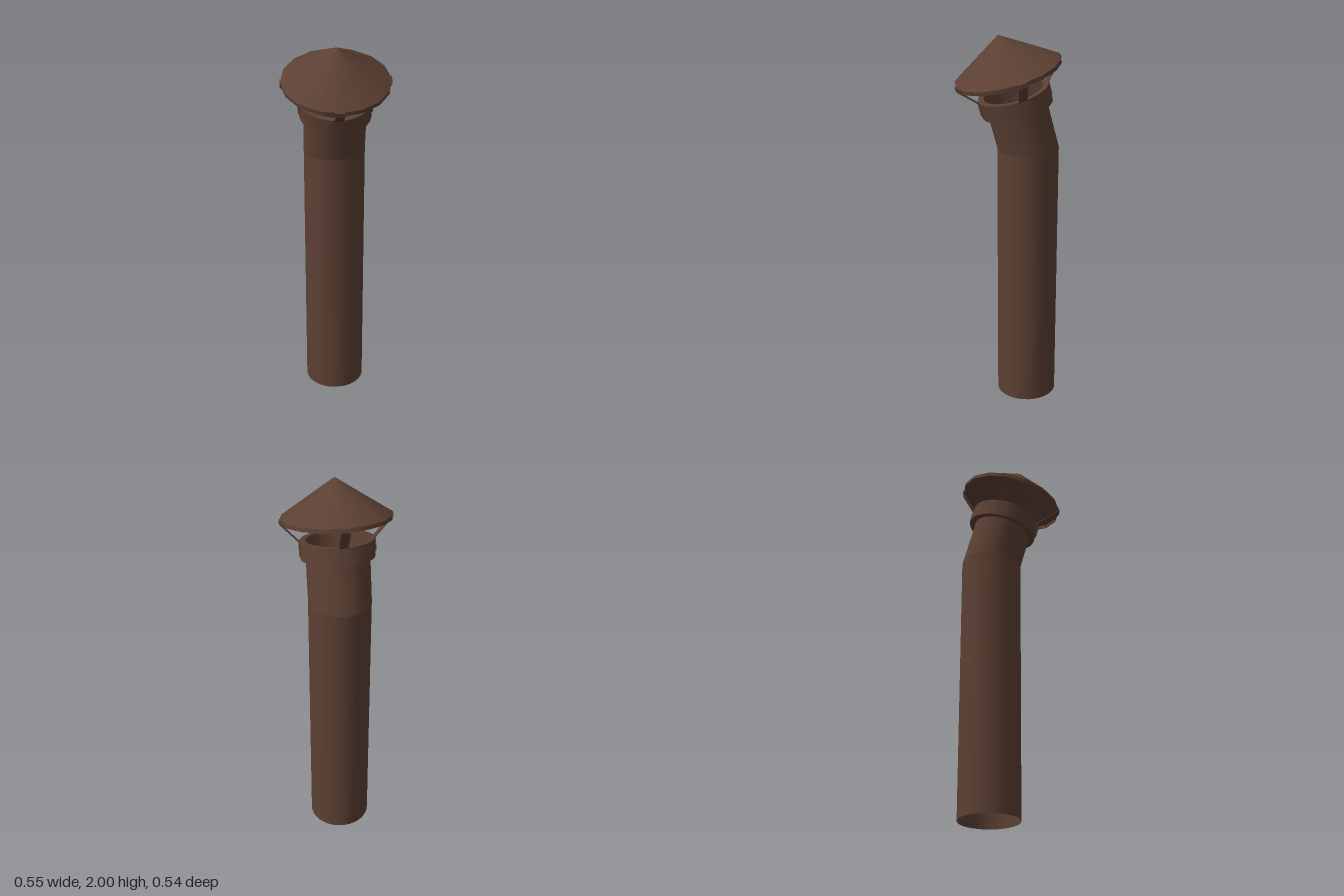
import * as THREE from 'three';

const TILT = THREE.MathUtils.degToRad(15);

export function createModel() {
  const brown = new THREE.MeshStandardMaterial({ color: 0x5c4033, side: THREE.DoubleSide });
  brown.name = 'brownMetal';

  const model = new THREE.Group();
  model.name = 'chimneyPipe';
  const add = (parent, name, geometry) => {
    const mesh = new THREE.Mesh(geometry, brown);
    mesh.name = name;
    parent.add(mesh);
    return mesh;
  };
  // Lathe each straight run separately so the edges stay sharp
  const addTurned = (parent, name, profile, segments) => {
    const part = new THREE.Group();
    part.name = name;
    for (let i = 0; i < profile.length - 1; i++) {
      const run = [profile[i], profile[i + 1]].map(([r, y]) => new THREE.Vector2(r, y));
      add(part, name + 'Face', new THREE.LatheGeometry(run, segments));
    }
    parent.add(part);
  };

  // Upright pipe, open at both ends
  const radius = 0.158, bendY = 1.41;
  const lower = add(model, 'lowerPipe', new THREE.CylinderGeometry(radius, radius, bendY, 32, 1, true));
  lower.position.set(0, bendY / 2, -0.105);

  // Everything above the bend leans forward; local y = 0 is the pipe mouth
  const head = new THREE.Group();
  head.name = 'tiltedHead';
  head.position.set(0, 1.71, -0.025);
  head.rotation.x = TILT;
  model.add(head);

  // Leaning pipe, its lower end cut level to meet the upright pipe
  const length = 0.31;
  const upper = new THREE.CylinderGeometry(radius, radius, length, 32, 1, true);
  upper.scale(1, 1, Math.cos(TILT)).translate(0, -length / 2, 0);
  const p = upper.attributes.position;
  for (let i = 0; i < p.count; i++) {
    if (p.getY(i) < -length / 2) p.setY(i, -length + p.getZ(i) * Math.tan(TILT));
  }
  add(head, 'upperPipe', upper);

  // Collar around the mouth
  addTurned(head, 'collar', [[0.154, -0.09], [0.183, -0.09], [0.183, 0], [0.154, 0]], 32);

  // Conical rain cap with a short rim
  addTurned(head, 'rainCap', [[0.268, 0.095], [0.273, 0.095], [0.273, 0.115], [0, 0.3]], 16);
  addTurned(head, 'rainCapUnderside', [[0.268, 0.095], [0.268, 0.112], [0, 0.292]], 16);

  // Four bent straps joining collar and cap
  const width = 0.045, t = 0.004;
  const path = [[0.183, -0.07], [0.183, 0], [0.272, 0.095], [0.272, 0.115]];
  const outline = [...path, ...path.map(([r, y]) => [r + t, y - t / 2]).reverse()];
  const strap = new THREE.ExtrudeGeometry(
    new THREE.Shape(outline.map(([r, y]) => new THREE.Vector2(r, y))),
    { depth: width, bevelEnabled: false }
  );
  strap.translate(0, 0, -width / 2);
  for (let i = 0; i < 4; i++) add(head, 'strap', strap).rotation.y = i * Math.PI / 2;

  return model;
}
